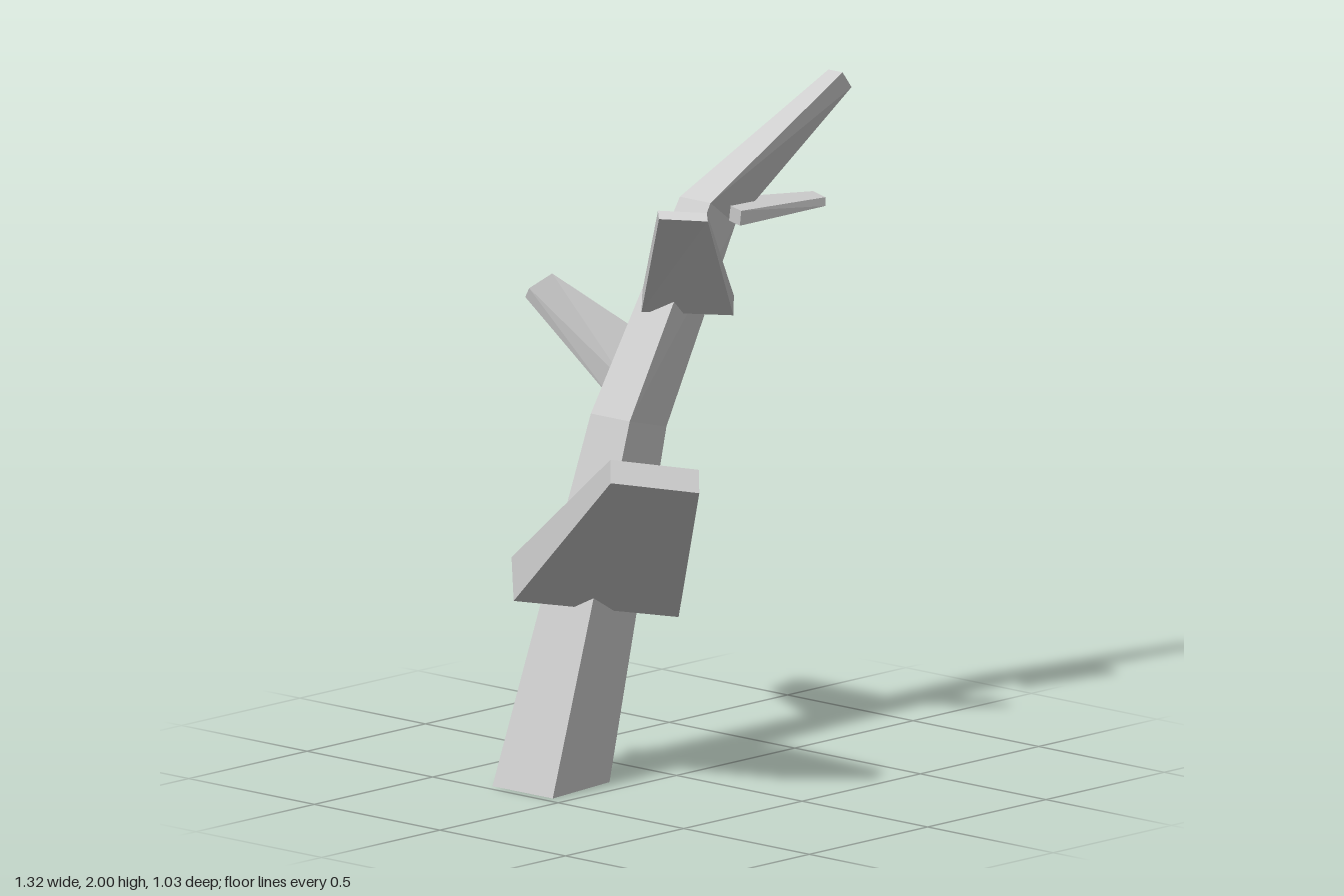
import * as THREE from 'three';

const material = new THREE.MeshStandardMaterial({ color: 0xcccccc, flatShading: true });

// Lofts four-cornered cross-sections (anticlockwise seen from the tip) and caps both ends.
function loft(name, rings) {
  const positions = [];
  const quad = (a, b, c, d) => positions.push(...a, ...b, ...c, ...a, ...c, ...d);
  for (let r = 0; r < rings.length - 1; r++) {
    for (let i = 0; i < 4; i++) {
      const j = (i + 1) % 4;
      quad(rings[r][i], rings[r][j], rings[r + 1][j], rings[r + 1][i]);
    }
  }
  quad(...[...rings[0]].reverse());
  quad(...rings[rings.length - 1]);
  const geometry = new THREE.BufferGeometry();
  geometry.setAttribute('position', new THREE.Float32BufferAttribute(positions, 3));
  geometry.computeVertexNormals();
  const mesh = new THREE.Mesh(geometry, material);
  mesh.name = name;
  return mesh;
}

// Trunk section from its left and right edge points (x, y) and front and back depth.
const section = ([lx, ly], [rx, ry], front, back) =>
  [[lx, ly, front], [rx, ry, front], [rx, ry, back], [lx, ly, back]];

// Branch section from three corners; the fourth completes the parallelogram.
const parallelogram = (a, b, c) => [a, b, c, a.map((v, i) => v + c[i] - b[i])];

export function createModel() {
  const group = new THREE.Group();
  group.name = 'bareTree';

  // Bending, tapered trunk
  group.add(loft('trunk', [
    section([-0.47, 0], [-0.23, 0.01], -0.05, -0.29),
    section([-0.155, 1.07], [0, 1.03], -0.04, -0.195),
    section([0.165, 1.67], [0.27, 1.59], -0.02, -0.142),
    section([0.617, 2], [0.655, 1.95], 0.08, 0.024),
  ]));

  // Wide low branch reaching forward
  group.add(loft('lowerBranch', [
    parallelogram([-0.46, 0.56, -0.215], [-0.06, 0.49, 0.065], [0, 0.6, 0]),
    parallelogram([-0.66, 1.03, 0.36], [-0.45, 0.99, 0.515], [-0.42, 1.05, 0.485]),
  ]));

  // Smaller branch above it
  group.add(loft('upperBranch', [
    parallelogram([-0.015, 1.36, -0.125], [0.15, 1.355, 0.085], [0.195, 1.4, 0.045]),
    parallelogram([-0.175, 1.695, 0.095], [-0.085, 1.69, 0.205], [-0.07, 1.71, 0.187]),
  ]));

  // Branch reaching backward
  group.add(loft('backBranch', [
    parallelogram([-0.07, 1.09, -0.18], [-0.07, 1.155, -0.135], [0.195, 1.185, -0.18]),
    parallelogram([-0.135, 1.37, -0.475], [-0.14, 1.4, -0.455], [0, 1.415, -0.495]),
  ]));

  // Thin flat twig near the top
  group.add(loft('sideTwig', [
    parallelogram([0.215, 1.605, 0.05], [0.285, 1.605, -0.12], [0.285, 1.65, -0.115]),
    parallelogram([0.505, 1.627, 0.117], [0.54, 1.627, 0.035], [0.54, 1.653, 0.035]),
  ]));

  return group;
}
